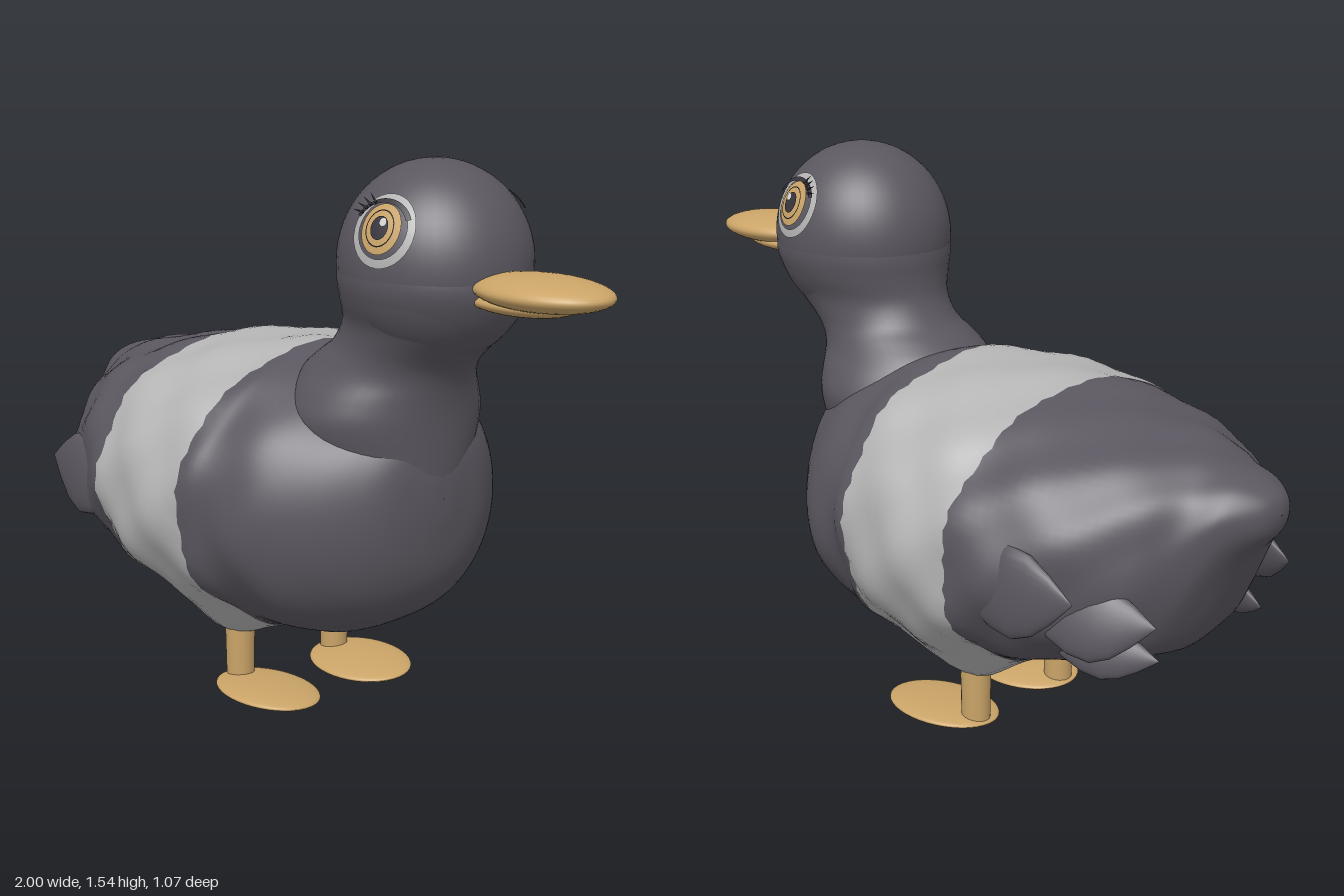
import * as THREE from 'three';

const mat = (name, color, side = THREE.FrontSide) => {
  const m = new THREE.MeshStandardMaterial({ color, side });
  m.name = name;
  return m;
};

// Catmull-Rom subdivision of rows of numbers
function refine(rows, steps) {
  const out = [];
  for (let i = 0; i < rows.length - 1; i++) {
    const [a, b, c, d] = [rows[Math.max(i - 1, 0)], rows[i], rows[i + 1], rows[Math.min(i + 2, rows.length - 1)]];
    for (let s = 0; s < steps; s++) {
      const t = s / steps;
      out.push(b.map((_, k) => b[k] + 0.5 * t * (c[k] - a[k] +
        t * (2 * a[k] - 5 * b[k] + 4 * c[k] - d[k] + t * (3 * (b[k] - c[k]) + d[k] - a[k])))));
    }
  }
  out.push(rows[rows.length - 1]);
  return out;
}

// Closed rings joined into a smooth skin; point(row, angle, ring, step) gives [x, y, z]
function loft(rows, segs, point) {
  const pos = [], idx = [];
  rows.forEach((r, i) => {
    for (let j = 0; j < segs; j++) pos.push(...point(r, (j / segs) * Math.PI * 2, i, j));
  });
  for (let i = 0; i < rows.length - 1; i++) {
    for (let j = 0; j < segs; j++) {
      const a = i * segs + j, b = i * segs + (j + 1) % segs;
      idx.push(a, a + segs, b, b, a + segs, b + segs);
    }
  }
  const g = new THREE.BufferGeometry();
  g.setAttribute('position', new THREE.Float32BufferAttribute(pos, 3));
  g.setIndex(idx);
  g.computeVertexNormals();
  return g;
}

export function createModel() {
  const model = new THREE.Group();
  model.name = 'duck';
  const dark = mat('charcoalFeathers', 0x5b5760);
  const grey = mat('greyFeathers', 0xb4b4b4);
  const gold = mat('tanBeakAndFeet', 0xcaa468);
  const pupil = mat('darkPupil', 0x38343c, THREE.DoubleSide);
  const shine = mat('eyeShine', 0xd8d8d8);

  const add = (name, geo, material, parent = model, p = [0, 0, 0], s = [1, 1, 1]) => {
    const m = new THREE.Mesh(geo, material);
    m.name = name;
    m.position.set(...p);
    m.scale.set(...s);
    parent.add(m);
    return m;
  };
  const ball = new THREE.SphereGeometry(1, 40, 24);

  // Body: x, bottom, top, half width
  const bodyRows = [
    [-1, 0.794, 0.796, 0.001], [-0.985, 0.74, 0.84, 0.06], [-0.92, 0.66, 0.875, 0.14], [-0.84, 0.49, 0.895, 0.21],
    [-0.77, 0.39, 0.915, 0.3], [-0.67, 0.345, 0.935, 0.39], [-0.52, 0.3, 0.965, 0.475],
    [-0.37, 0.26, 0.995, 0.512], [-0.2, 0.235, 1.015, 0.525], [0, 0.23, 1.02, 0.5],
    [0.08, 0.234, 1.01, 0.465], [0.2, 0.25, 0.975, 0.435], [0.3, 0.295, 0.935, 0.36], [0.39, 0.36, 0.9, 0.265],
    [0.45, 0.46, 0.85, 0.17], [0.475, 0.6, 0.76, 0.06], [0.479, 0.679, 0.681, 0.001],
  ];
  const STEPS = 6, SEGS = 96, RING = SEGS * 6 * STEPS;
  const bodyGeo = loft(refine(bodyRows, STEPS), SEGS, ([x, lo, hi, w], a, i, j) => {
    // ruffled plumage, fading out towards the chest and the tail tip
    const fade = Math.min(1, Math.max(0, (0.3 - x) * 3)) * Math.min(1, (x + 1) * 4);
    const k = 1 + fade * (0.018 * Math.sin(5 * a + 9 * x) * Math.sin(17 * x + 2 * a) +
      0.013 * Math.sin(9 * a - 21 * x));
    const edge = i === 7 * STEPS || i === 9 * STEPS ? 0.006 * Math.sin(j * 2.3) : 0;
    const soft = (v) => Math.sign(v) * Math.pow(Math.abs(v), 0.96);
    const z = w * k * soft(Math.cos(a));
    // thighs swell downwards out of the belly
    const d = ((x + 0.175) / 0.125) ** 2 + ((Math.abs(z) - 0.185) / 0.12) ** 2;
    const thigh = Math.sin(a) < 0 ? 0.1 * Math.exp(-d) : 0;
    return [x + edge, (lo + hi) / 2 + (hi - lo) / 2 * k * soft(Math.sin(a)) - thigh, z];
  });
  bodyGeo.addGroup(0, 7 * RING, 0);
  bodyGeo.addGroup(7 * RING, 2 * RING, 1);
  bodyGeo.addGroup(9 * RING, 7 * RING, 0);
  add('body', bodyGeo, [dark, grey]);

  // Neck flaring into the shoulders: y, back x, front x, half depth
  const neckRows = [
    [0.6, 0.05, 0.46, 0.18], [0.7, 0.02, 0.475, 0.21], [0.8, 0.01, 0.48, 0.25], [0.88, 0.01, 0.483, 0.27],
    [0.94, 0.015, 0.49, 0.25], [0.99, 0.03, 0.503, 0.217], [1.03, 0.075, 0.525, 0.196],
    [1.07, 0.13, 0.565, 0.186], [1.13, 0.166, 0.635, 0.193], [1.19, 0.176, 0.672, 0.222],
    [1.25, 0.176, 0.688, 0.239], [1.31, 0.19, 0.67, 0.23], [1.37, 0.24, 0.62, 0.18],
  ];
  add('neck', loft(refine(neckRows, 4), 48, ([y, back, front, d], a) =>
    [(back + front) / 2 - (front - back) / 2 * Math.sin(a), y, d * Math.cos(a)]), dark);

  // Head and eyes share one slightly narrowed frame
  const R = 0.256;
  const head = new THREE.Group();
  head.name = 'head';
  head.position.set(0.432, 1.289, 0);
  head.scale.z = 0.94;
  model.add(head);
  add('skull', new THREE.SphereGeometry(R, 48, 32), dark, head);

  // Curved disc or ring hugging the skull
  const patch = (inner, outer, lift, sx = 1, sy = 1, from = 0, sweep = Math.PI * 2) => {
    const g = new THREE.RingGeometry(inner, outer, 32, 4, from, sweep);
    const p = g.attributes.position;
    for (let i = 0; i < p.count; i++) {
      const x = p.getX(i) * sx, y = p.getY(i) * sy;
      p.setXYZ(i, x, y, Math.sqrt(R * R - x * x - y * y) - R + lift);
    }
    g.computeVertexNormals();
    return g;
  };
  for (const side of [1, -1]) {
    const eye = new THREE.Group();
    eye.name = side > 0 ? 'leftEye' : 'rightEye';
    const dir = new THREE.Vector3(0.045, 0.1, 0.23 * side).normalize();
    eye.position.copy(dir).multiplyScalar(R);
    eye.lookAt(dir.clone().multiplyScalar(2));
    head.add(eye);
    add('eyeRing', patch(0.073, 0.094, 0.005, 0.97, 1), grey, eye);
    add('iris', patch(0, 0.064, 0.01, 0.9, 1), gold, eye);
    add('irisLine', patch(0.044, 0.047, 0.013, 0.88, 1), pupil, eye);
    add('pupil', patch(0, 0.03, 0.014, 0.85, 1), pupil, eye);
    add('eyeShine', patch(0, 0.011, 0.017), shine, eye, [side * 0.01, 0.014, 0]);
    add('upperLid', patch(0.064, 0.076, 0.016, 1.15, 1, 0.4, Math.PI - 0.8), pupil, eye);
    // lashes sweep towards the back of the head
    for (let i = 0; i < 4; i++) {
      const a = Math.PI / 2 + side * (0.5 + i * 0.2);
      const lash = add('eyelash', new THREE.ConeGeometry(0.004, 0.036, 5), pupil, eye,
        [Math.cos(a) * 0.09, Math.sin(a) * 0.085, 0.008]);
      lash.rotation.z = a - Math.PI / 2 + side * 0.3;
    }
  }

  // Beak
  add('upperBeak', ball, gold, model, [0.8, 1.257, 0], [0.195, 0.043, 0.135]);
  add('lowerBeak', ball, gold, model, [0.735, 1.224, 0], [0.16, 0.029, 0.1]);

  // Leaf-shaped feather, pointed at both ends, one unit long
  const leaf = new THREE.LatheGeometry([[0, -0.5], [0.45, -0.38], [0.85, -0.18], [1, 0], [0.85, 0.16],
    [0.5, 0.32], [0.2, 0.43], [0, 0.5]].map(([r, y]) => new THREE.Vector2(r, y)), 28);
  // feathers run from a root in the body to a free tip: root, tip, half height, half thickness
  const feathers = [
    [[-0.36, 0.59, 0.46], [-0.725, 0.62, 0.44], 0.12, 0.035],
    [[-0.55, 0.53, 0.39], [-0.855, 0.55, 0.285], 0.1, 0.035],
    [[-0.55, 0.43, 0.31], [-0.82, 0.43, 0.22], 0.07, 0.03],
  ];
  // Legs, feet and feathers, mirrored
  for (const s of [1, -1]) {
    add('leg', new THREE.CylinderGeometry(0.043, 0.04, 0.2, 24), gold, model, [-0.17, 0.13, 0.175 * s]);
    const foot = add('foot', ball, gold, model, [-0.045, 0.028, 0.172 * s], [0.174, 0.021, 0.13]);
    foot.rotation.x = -0.06 * s;
    for (const [root, tip, height, thick] of feathers) {
      const a = new THREE.Vector3(root[0], root[1], root[2] * s);
      const b = new THREE.Vector3(tip[0], tip[1], tip[2] * s);
      const f = add('featherTip', leaf, dark, model,
        a.clone().add(b).multiplyScalar(0.5).toArray(), [height, a.distanceTo(b), thick]);
      f.quaternion.setFromUnitVectors(new THREE.Vector3(0, 1, 0), b.sub(a).normalize());
    }
  }
  return model;
}
